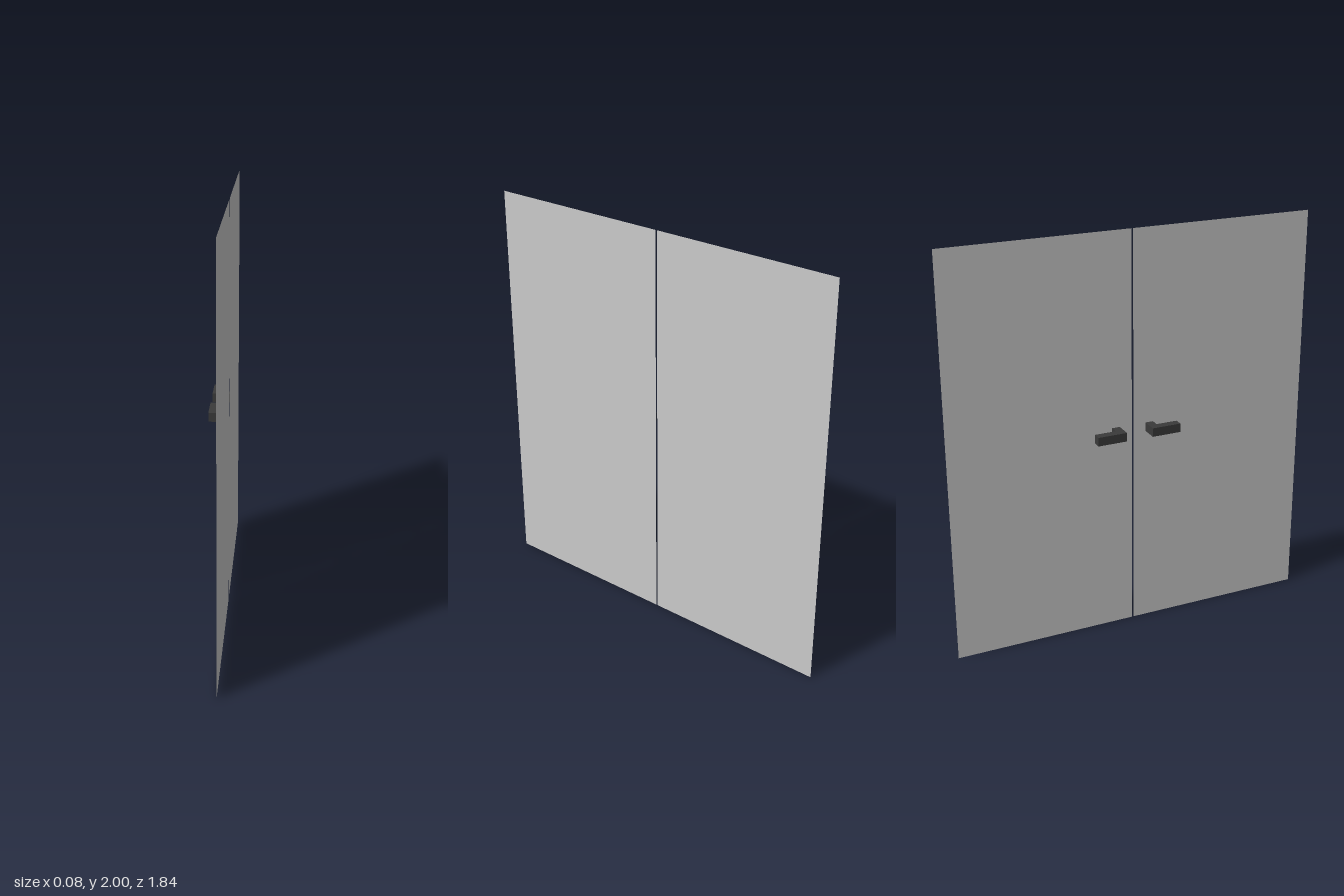
import * as THREE from 'three';

const HALF_DEPTH = 0.042;   // handles reach from -x to the door plane at +x
const HEIGHT = 2;
const EDGE = 0.92;          // outer edge of each leaf
const GAP = 0.004;          // half the gap between the leaves

export function createModel() {
  const model = new THREE.Group();
  model.name = 'doubleDoor';

  const panelMaterial = new THREE.MeshStandardMaterial({ color: 0xcccccc, side: THREE.DoubleSide });
  const handleMaterial = new THREE.MeshStandardMaterial({ color: 0x3a3a3a });

  // L-shaped lever outline: x is depth, y runs away from the gap
  const outline = new THREE.Shape([
    [HALF_DEPTH - 0.0005, 0.067], [HALF_DEPTH - 0.0005, 0.107], [0, 0.107],
    [0, 0.213], [-HALF_DEPTH, 0.213], [-HALF_DEPTH, 0.067],
  ].map(([x, y]) => new THREE.Vector2(x, y)));

  for (const [side, label] of [[1, 'front'], [-1, 'back']]) {
    // thin door leaf
    const panel = new THREE.Mesh(new THREE.PlaneGeometry(EDGE - GAP, HEIGHT), panelMaterial);
    panel.name = label + 'DoorPanel';
    panel.rotation.y = Math.PI / 2;
    panel.position.set(HALF_DEPTH, HEIGHT / 2, side * (EDGE + GAP) / 2);

    // lever handle, mirrored across the gap
    const handle = new THREE.Mesh(
      new THREE.ExtrudeGeometry(outline, { depth: 0.043, bevelEnabled: false }), handleMaterial);
    handle.name = label + 'Handle';
    handle.geometry.rotateX(Math.PI / 2);
    handle.position.y = 1.054;
    handle.scale.z = side;

    model.add(panel, handle);
  }
  return model;
}
